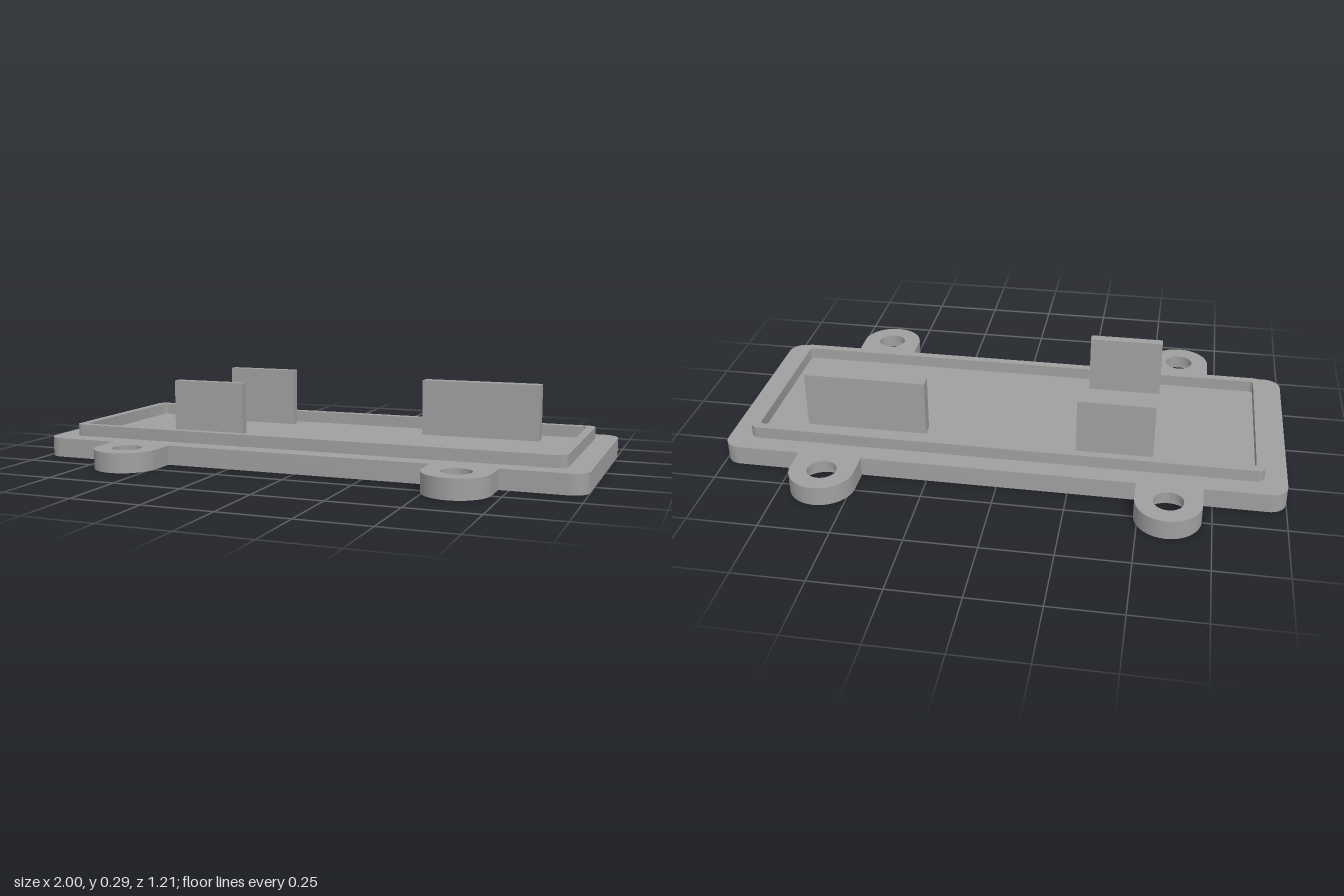
import * as THREE from 'three';
import { toCreasedNormals } from 'three/addons/utils/BufferGeometryUtils.js';

const PLATE_TOP = 0.07, RIM_TOP = 0.113;
const PLATE_HALF_Z = 0.402;

// Rounded rectangle centred on the origin, from half sizes
function roundedRect(path, hx, hz, r) {
  path.moveTo(hx, -hz + r);
  path.absarc(hx - r, hz - r, r, 0, Math.PI / 2, false);
  path.absarc(-hx + r, hz - r, r, Math.PI / 2, Math.PI, false);
  path.absarc(-hx + r, -hz + r, r, Math.PI, Math.PI * 1.5, false);
  path.absarc(hx - r, -hz + r, r, Math.PI * 1.5, Math.PI * 2, false);
  return path;
}

// Extrude a plan shape upwards from y0 to y1
function slab(shape, y0, y1) {
  const geo = new THREE.ExtrudeGeometry(shape, { depth: y1 - y0, bevelEnabled: false, curveSegments: 16 });
  geo.rotateX(-Math.PI / 2);
  geo.translate(0, y0, 0);
  return toCreasedNormals(geo, 0.6);
}

// Ear plan: straight sides from the plate edge to a round end, with a round hole
function earShape(holeRadius) {
  const r = 0.115, centre = 0.492;
  const s = new THREE.Shape();
  s.moveTo(-r, PLATE_HALF_Z);
  s.lineTo(r, PLATE_HALF_Z);
  s.absarc(0, centre, r, 0, Math.PI, false);
  s.closePath();
  s.holes.push(new THREE.Path().absarc(0, centre, holeRadius, 0, Math.PI * 2, true));
  return s;
}

export function createModel() {
  const model = new THREE.Group();
  model.name = 'enclosureLid';
  const grey = new THREE.MeshStandardMaterial({ color: 0xa0a0a0 });
  grey.name = 'grey plastic';

  const add = (name, geo, parent = model) => {
    const mesh = new THREE.Mesh(geo, grey);
    mesh.name = name;
    parent.add(mesh);
    return mesh;
  };

  // Base plate
  add('basePlate', slab(roundedRect(new THREE.Shape(), 1, PLATE_HALF_Z, 0.06), 0, PLATE_TOP));

  // Raised locating rim
  const rim = roundedRect(new THREE.Shape(), 0.922, 0.328, 0.03);
  rim.holes.push(roundedRect(new THREE.Path(), 0.891, 0.297, 0.012));
  add('locatingRim', slab(rim, PLATE_TOP, RIM_TOP));

  // Four screw ears, counterbored from below
  const lower = slab(earShape(0.088), 0, 0.04);
  const upper = slab(earShape(0.052), 0.04, PLATE_TOP);
  for (const x of [-0.601, 0.601]) {
    for (const back of [true, false]) {
      const ear = new THREE.Group();
      ear.name = (back ? 'back' : 'front') + (x > 0 ? 'Left' : 'Right') + 'ScrewEar';
      add('counterboredBase', lower, ear);
      add('screwSeat', upper, ear);
      ear.position.x = x;
      ear.rotation.y = back ? 0 : Math.PI;
      model.add(ear);
    }
  }

  // Upright tabs: name, x range, z range, top
  const tabs = [
    ['frontTab', -0.535, -0.262, 0.221, 0.255, 0.287],
    ['backTab', -0.535, -0.262, -0.256, -0.222, 0.287],
    ['wideTab', 0.294, 0.74, -0.206, -0.159, 0.277],
  ];
  for (const [name, x0, x1, z0, z1, top] of tabs) {
    const tab = add(name, new THREE.BoxGeometry(x1 - x0, top - PLATE_TOP, z1 - z0));
    tab.position.set((x0 + x1) / 2, (top + PLATE_TOP) / 2, (z0 + z1) / 2);
  }
  return model;
}
